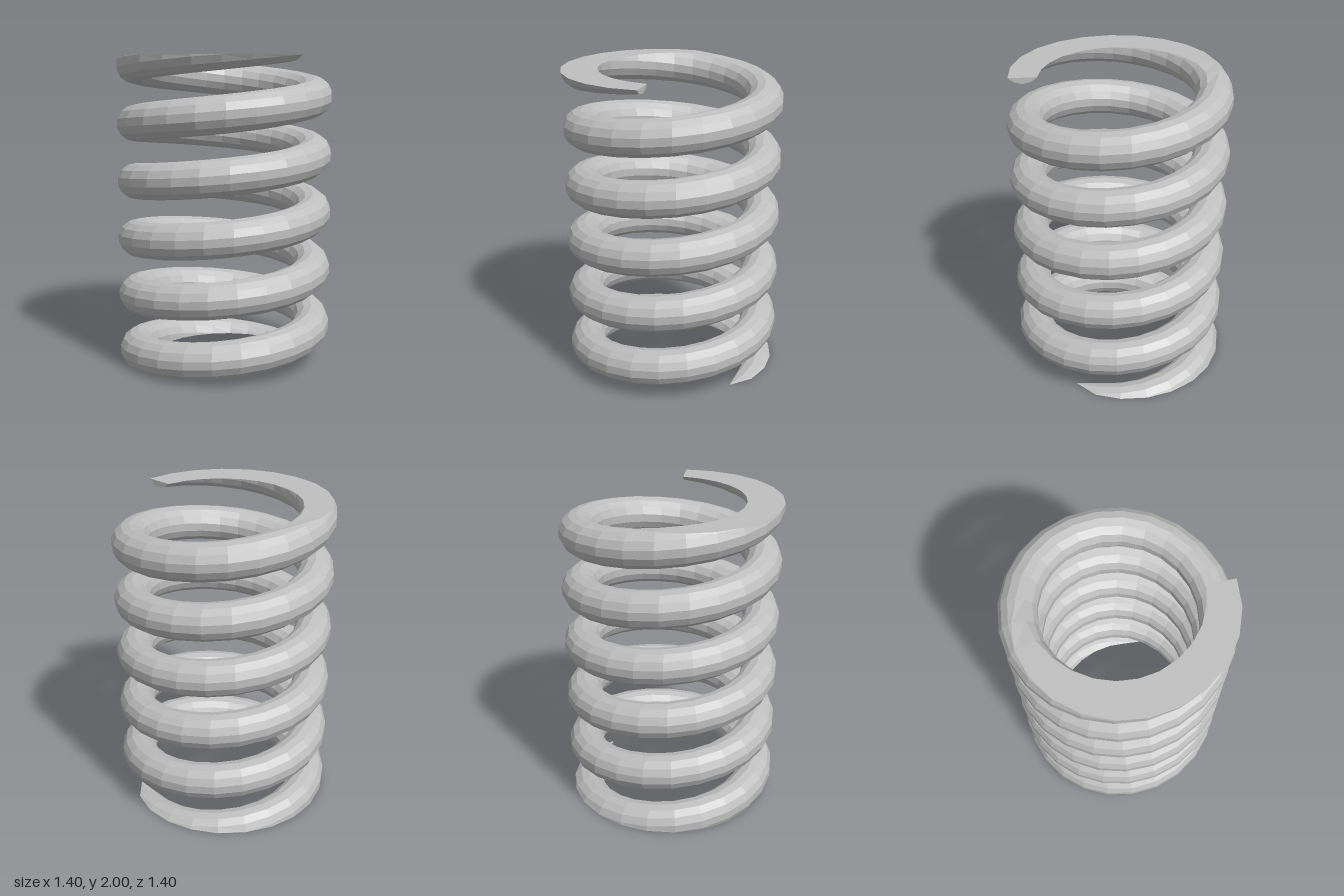
import * as THREE from 'three';

const COIL_RADIUS = 0.585;   // axis to wire centre
const WIRE_RADIUS = 0.116;
const PITCH = 0.375;         // rise per turn
const FRONT_HEIGHT = 0.2;    // wire centre height where angle = 0 (front)
const HEIGHT = 2;            // ends are ground flat at y = 0 and y = HEIGHT
const SIDES = 14;
const SEGMENTS = 141;

const centreHeight = (t) => FRONT_HEIGHT + (PITCH * t) / (2 * Math.PI);

// Point on the wire's round section, moved to the corner of the flat where it is ground off
function sectionPoint(t, theta) {
  const yc = centreHeight(t);
  const low = THREE.MathUtils.clamp(-yc / WIRE_RADIUS, -1, 1);
  const high = THREE.MathUtils.clamp((HEIGHT - yc) / WIRE_RADIUS, -1, 1);
  const s = THREE.MathUtils.clamp(Math.sin(theta), low, high);
  const side = Math.cos(theta) < 0 ? -1 : 1;
  const r = COIL_RADIUS + side * WIRE_RADIUS * Math.sqrt(Math.max(0, 1 - s * s));
  return [r * Math.sin(t), yc + WIRE_RADIUS * s, r * Math.cos(t)];
}

function createCoilGeometry() {
  // Begins as a thin tip on the floor and ends with a square cut at the front
  const tStart = ((-WIRE_RADIUS - FRONT_HEIGHT) / PITCH) * 2 * Math.PI;
  const tEnd = 10 * Math.PI;
  const positions = [];
  const indices = [];
  for (let i = 0; i <= SEGMENTS; i++) {
    const t = THREE.MathUtils.lerp(tStart, tEnd, i / SEGMENTS);
    for (let j = 0; j < SIDES; j++) {
      positions.push(...sectionPoint(t, ((j + 0.5) / SIDES) * 2 * Math.PI));
    }
  }
  for (let i = 0; i < SEGMENTS; i++) {
    for (let j = 0; j < SIDES; j++) {
      const k = (j + 1) % SIDES;
      const a = i * SIDES + j;
      const b = i * SIDES + k;
      indices.push(a, a + SIDES, b, a + SIDES, b + SIDES, b);
    }
  }
  // Cut face at the upper end
  const last = SEGMENTS * SIDES;
  for (let j = 1; j < SIDES - 1; j++) indices.push(last, last + j + 1, last + j);

  const geometry = new THREE.BufferGeometry();
  geometry.setAttribute('position', new THREE.Float32BufferAttribute(positions, 3));
  geometry.setIndex(indices);
  const faceted = geometry.toNonIndexed();
  faceted.computeVertexNormals();
  return faceted;
}

export function createModel() {
  const steel = new THREE.MeshStandardMaterial({ color: 0xbfbfbf, flatShading: true });
  steel.name = 'steel grey';
  const group = new THREE.Group();
  group.name = 'compressionSpring';
  const coil = new THREE.Mesh(createCoilGeometry(), steel);
  coil.name = 'springCoil';
  group.add(coil);
  return group;
}
